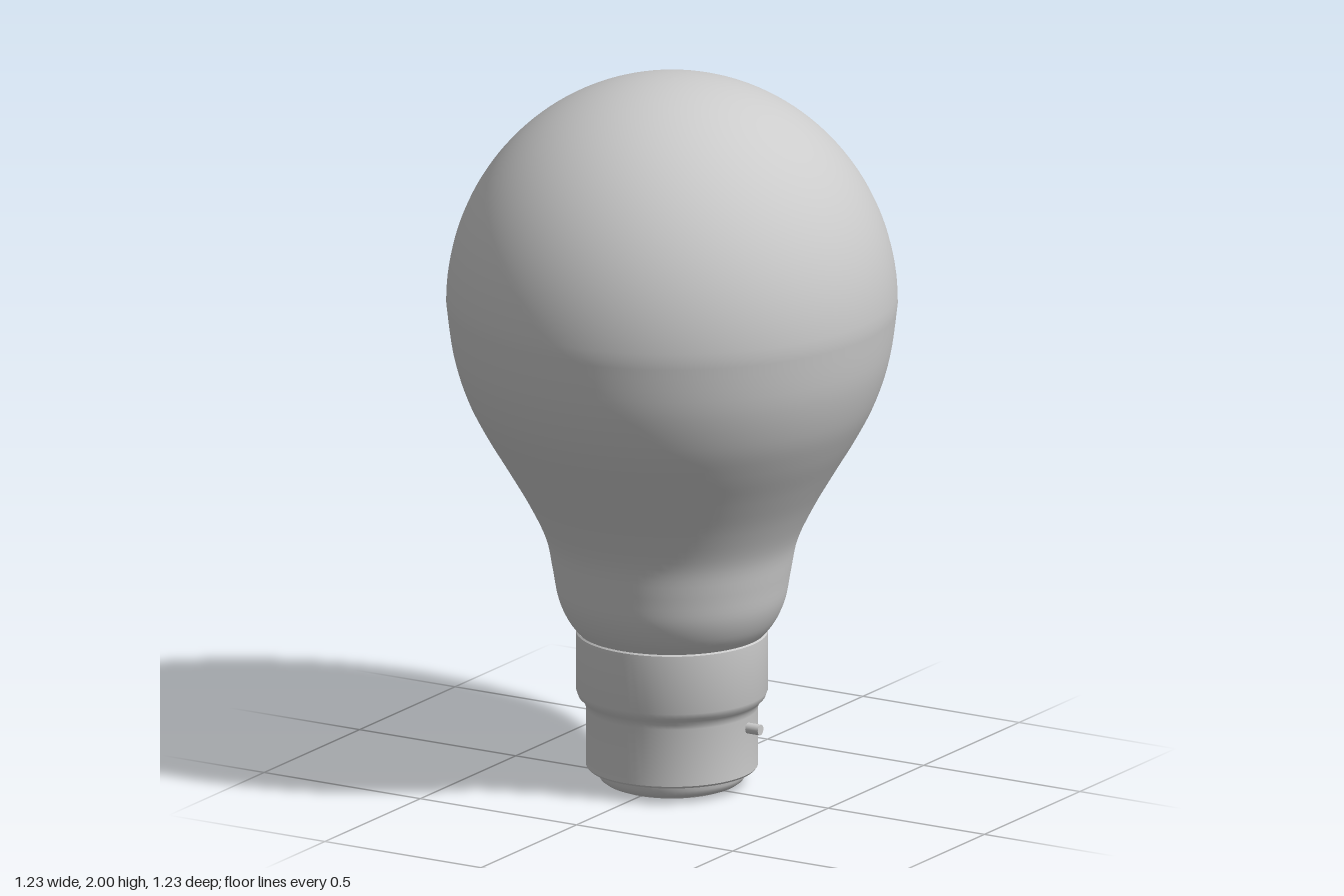
import * as THREE from 'three';
import { toCreasedNormals } from 'three/addons/utils/BufferGeometryUtils.js';

const material = new THREE.MeshStandardMaterial({ color: 0xcccccc });
const toVectors = (pairs) => pairs.map(([r, y]) => new THREE.Vector2(r, y));

export function createModel() {
  const model = new THREE.Group();
  model.name = 'lightBulb';

  const add = (name, geometry) => {
    const mesh = new THREE.Mesh(geometry, material);
    mesh.name = name;
    model.add(mesh);
    return mesh;
  };

  // Glass: a curved neck that flows into a nearly spherical dome
  const neck = new THREE.SplineCurve(toVectors([
    [0.25, 0.425], [0.285, 0.47], [0.311, 0.53], [0.326, 0.61], [0.345, 0.7], [0.392, 0.8],
    [0.45, 0.9], [0.51, 1.0], [0.56, 1.1], [0.597, 1.22], [0.617, 1.365],
  ])).getPoints(50);
  const dome = [];
  for (let i = 1; i <= 40; i++) {
    const a = (i / 40) * Math.PI / 2;
    dome.push(new THREE.Vector2(i === 40 ? 0 : 0.617 * Math.cos(a), 1.365 + 0.635 * Math.sin(a)));
  }
  add('glassBulb', new THREE.LatheGeometry([...neck, ...dome], 96));

  // Metal cap: rounded base disc, narrow barrel, shoulder and wide collar
  const cap = toVectors([
    [0, 0.005], [0.165, 0.005], [0.185, 0.008], [0.197, 0.017], [0.204, 0.03], [0.206, 0.047],
    [0.23, 0.047], [0.235, 0.053], [0.235, 0.215], [0.238, 0.228], [0.246, 0.24],
    [0.256, 0.25], [0.262, 0.266], [0.262, 0.43], [0.258, 0.434], [0.24, 0.434],
  ]);
  add('cap', toCreasedNormals(new THREE.LatheGeometry(cap, 64), 0.6));

  // Contact plate under the base
  add('contactPlate', new THREE.CylinderGeometry(0.17, 0.165, 0.01, 64)).position.y = 0.005;

  // Bayonet pins on both sides
  for (const side of [-1, 1]) {
    const pin = add(side > 0 ? 'leftPin' : 'rightPin', new THREE.CylinderGeometry(0.015, 0.015, 0.07, 16));
    pin.rotation.z = Math.PI / 2;
    pin.position.set(side * 0.24, 0.185, -0.014);
  }
  return model;
}
